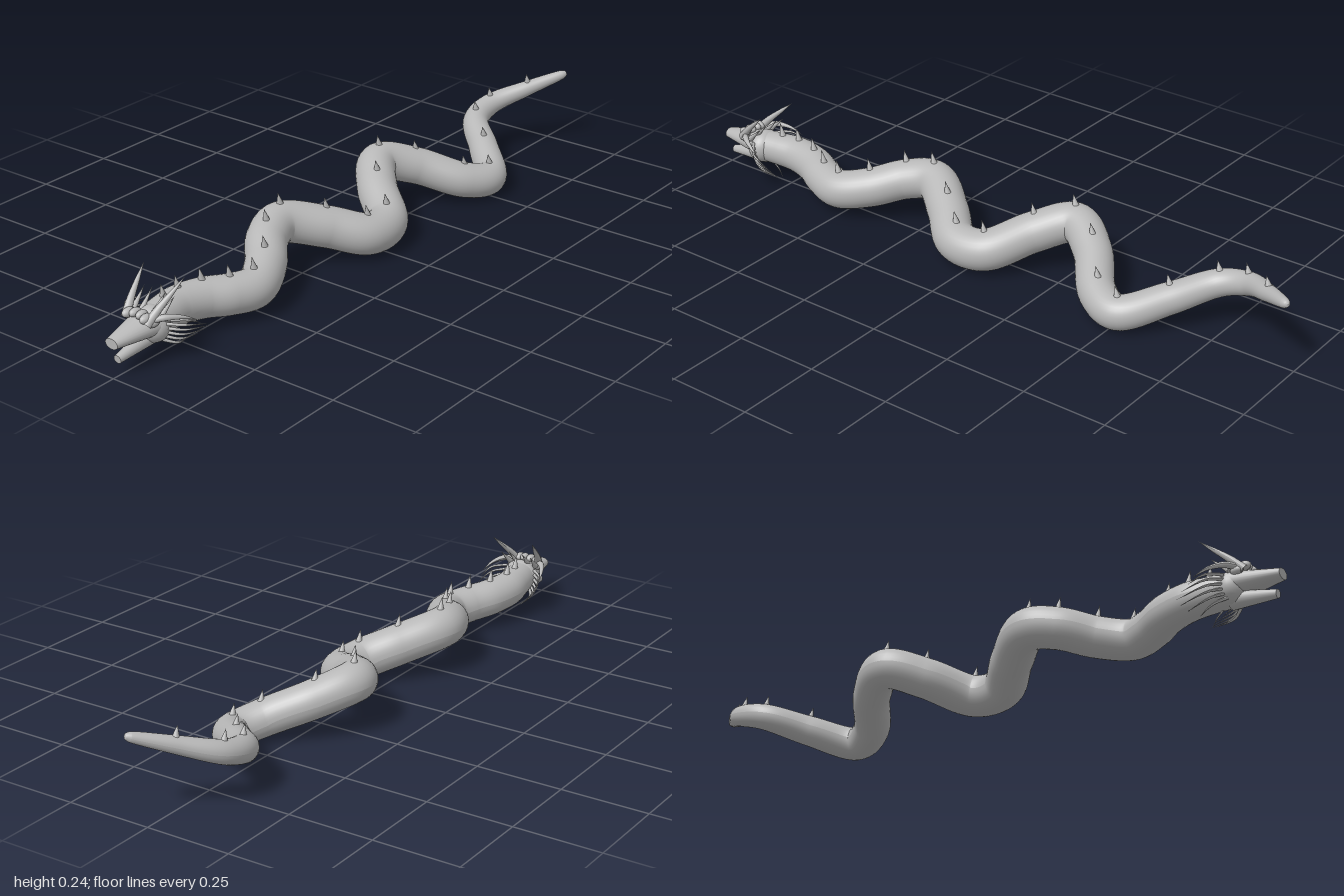
import * as THREE from 'three';

const skin = new THREE.MeshStandardMaterial({ color: 0xb8b8b8 });
skin.name = 'grey skin';

const v = (p) => new THREE.Vector3(p[0], p[1], p[2]);

// Tapering tube through [x, y, z, radius] points, closed at both ends
function taperTube(points, sides, steps) {
  const curve = new THREE.CatmullRomCurve3(points.map(v));
  const pos = [], index = [], last = points.length - 1;
  const up = new THREE.Vector3(0, 1, 0), side = new THREE.Vector3(), top = new THREE.Vector3();
  const ring = (centre, r) => {
    for (let j = 0; j <= sides; j++) {
      const a = (j / sides) * Math.PI * 2;
      const p = centre.clone().addScaledVector(side, Math.cos(a) * r).addScaledVector(top, Math.sin(a) * r);
      pos.push(p.x, p.y, p.z);
    }
  };
  for (let i = 0; i <= steps; i++) {
    const t = i / steps, k = Math.min(Math.floor(t * last), last - 1);
    const r = THREE.MathUtils.lerp(points[k][3], points[k + 1][3], t * last - k);
    const tangent = curve.getTangent(t);
    side.crossVectors(up, tangent).normalize();
    top.crossVectors(tangent, side);
    ring(curve.getPoint(t), r);
  }
  const n = sides + 1;
  for (let i = 0; i < steps; i++) {
    for (let j = 0; j < sides; j++) {
      const a = i * n + j, b = a + n;
      index.push(a, a + 1, b, a + 1, b + 1, b);
    }
  }
  const g = new THREE.BufferGeometry();
  g.setAttribute('position', new THREE.Float32BufferAttribute(pos, 3));
  g.setIndex(index);
  g.computeVertexNormals();
  return g;
}

export function createModel() {
  const model = new THREE.Group();
  const add = (name, geometry, parent = model) => {
    const m = new THREE.Mesh(geometry, skin);
    m.name = name;
    parent.add(m);
    return m;
  };
  // Straight cone or frustum between two points
  const frustum = (name, a, b, r0, r1, parent, sides = 24) => {
    const from = v(a), dir = v(b).sub(from);
    const m = add(name, new THREE.CylinderGeometry(r1, r0, dir.length(), sides), parent);
    m.position.copy(from).addScaledVector(dir, 0.5);
    m.quaternion.setFromUnitVectors(new THREE.Vector3(0, 1, 0), dir.normalize());
    return m;
  };

  // Winding body: x, y, z, radius, from neck to tail tip
  const spine = [
    [0, 0.1, 0.87, 0.046], [-0.015, 0.098, 0.79, 0.05], [-0.021, 0.095, 0.73, 0.053],
    [-0.005, 0.09, 0.655, 0.055], [0.03, 0.083, 0.585, 0.056], [0.05, 0.08, 0.51, 0.057],
    [0.012, 0.098, 0.42, 0.058], [-0.053, 0.125, 0.335, 0.059], [-0.075, 0.137, 0.25, 0.06],
    [0, 0.105, 0.14, 0.06], [0.075, 0.071, 0.05, 0.06], [0.07, 0.071, -0.045, 0.06],
    [-0.035, 0.115, -0.14, 0.059], [-0.1, 0.147, -0.235, 0.058], [-0.04, 0.118, -0.335, 0.055],
    [0.07, 0.068, -0.43, 0.053], [0.102, 0.055, -0.515, 0.05], [0.01, 0.092, -0.62, 0.045],
    [-0.085, 0.13, -0.715, 0.039], [-0.09, 0.155, -0.8, 0.033], [-0.018, 0.195, -0.9, 0.024],
    [0.053, 0.231, -0.986, 0.014], [0.06, 0.235, -0.997, 0.008], [0.062, 0.236, -1, 0],
  ];
  add('body', taperTube(spine, 32, 276));

  // Row of spikes along the back
  const backSpikes = new THREE.Group();
  backSpikes.name = 'backSpikes';
  model.add(backSpikes);
  spine.slice(1, 21).forEach(([x, y, z, r], i) => {
    const h = 0.046 - i * 0.0006;
    frustum('backSpike', [x, y + r - 0.008, z], [x, y + r + h - 0.008, z + 0.01], 0.0115, 0, backSpikes, 12);
  });

  // Head and jaws
  const head = new THREE.Group();
  head.name = 'head';
  model.add(head);
  const skull = add('skull', new THREE.SphereGeometry(1, 32, 20), head);
  skull.scale.set(0.055, 0.05, 0.045);
  skull.position.set(0, 0.1, 0.855);
  const snout = frustum('upperJaw', [0, 0.11, 0.86], [0, 0.102, 1], 0.052, 0.021, head);
  snout.scale.z = 0.72;
  frustum('lowerJaw', [0, 0.072, 0.85], [0, 0.051, 0.982], 0.026, 0.012, head);
  add('beard', taperTube([[0, 0.06, 0.83, 0.003], [0, 0.035, 0.8, 0.002], [0, 0.008, 0.785, 0]], 6, 8), head);

  for (const s of [-1, 1]) {
    // Horns, with knobbly brows at their roots
    add('horn', taperTube([[s * 0.036, 0.128, 0.91, 0.013], [s * 0.048, 0.165, 0.875, 0.01],
      [s * 0.06, 0.2, 0.835, 0.006], [s * 0.07, 0.232, 0.798, 0]], 12, 15), head);
    [[0.011, 0.147, 0.9, 0.012], [0.03, 0.143, 0.905, 0.013], [0.042, 0.13, 0.89, 0.012]].forEach(([x, y, z, r]) => {
      const brow = add('brow', new THREE.SphereGeometry(r, 14, 10), head);
      brow.position.set(s * x, y, z);
      brow.scale.z = 1.6;
    });
    // Short crest spikes behind the brows
    [[0.02, 0.185], [0.045, 0.18]].forEach(([x, y]) =>
      frustum('crestSpike', [s * x, 0.135, 0.87], [s * x * 1.15, y, 0.82], 0.009, 0, head, 10));
    // Curved whisker sweeping out from the brow
    add('whisker', taperTube([[s * 0.035, 0.136, 0.9, 0.009], [s * 0.065, 0.143, 0.87, 0.009],
      [s * 0.088, 0.135, 0.83, 0.005], [s * 0.1, 0.115, 0.79, 0]], 10, 15), head);
    // Fan of cheek spines
    for (let i = 0; i < 6; i++) {
      const f = i / 5, x = 0.1 - 0.062 * f * f, y = 0.1 - 0.068 * f, z = 0.775 - 0.045 * Math.sin(f * 3);
      add('cheekSpine', taperTube([[s * (0.05 - 0.015 * f), 0.125 - 0.06 * f, 0.855, 0.005],
        [s * (x * 0.5 + 0.035), y + 0.022 - 0.006 * f, 0.82, 0.0035], [s * x, y, z, 0]], 8, 10), head);
    }
  }
  return model;
}
